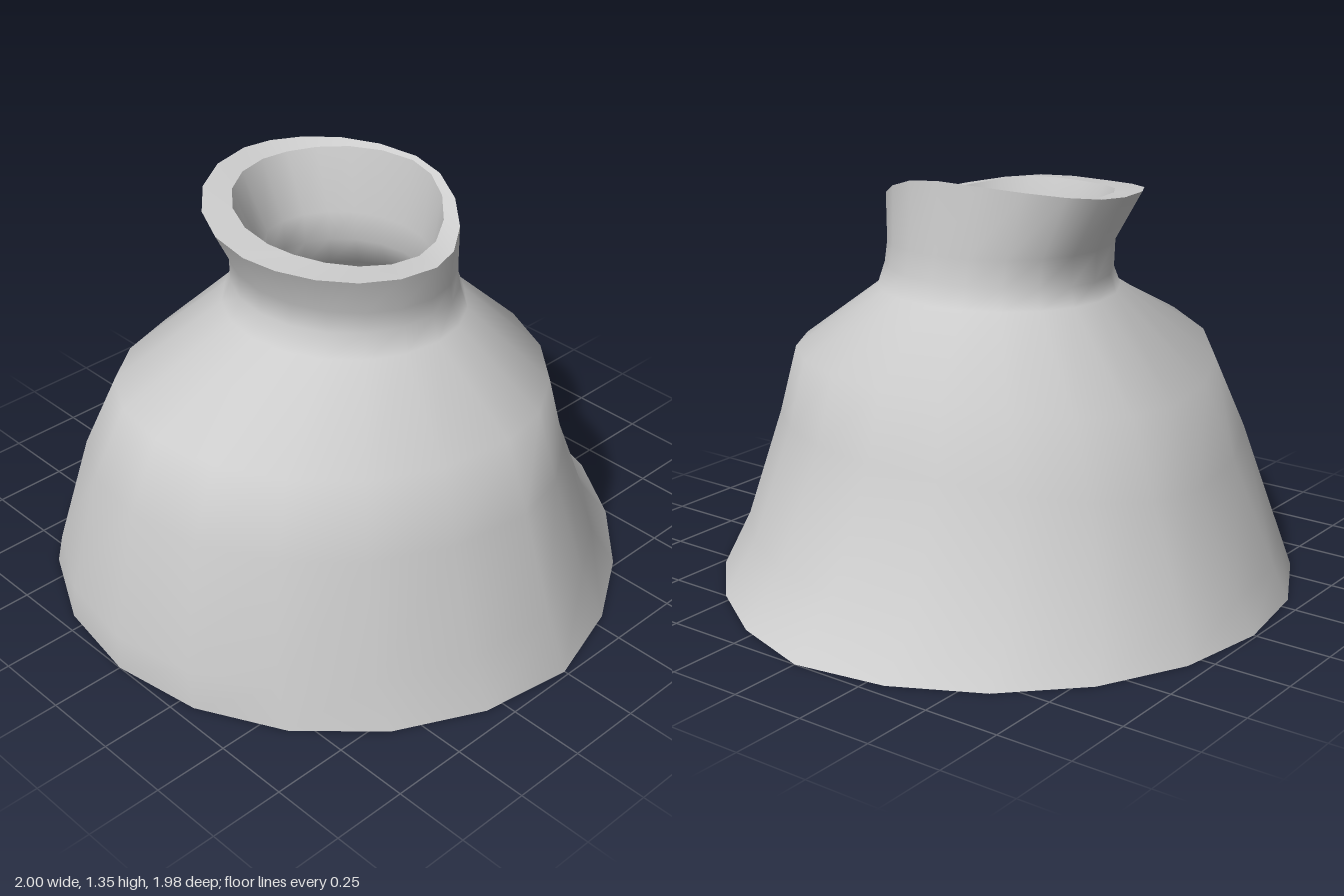
import * as THREE from 'three';

const SIDES = 20;

// Each ring: [x, y] at left and right, [z, y] at front and back, then a squeeze
// that flattens the front corner on the +x side.
const outer = [
  [1.0, 0, -1.0, 0, 0.985, 0, -0.99, 0, 0.08],
  [0.83, 0.16, -1.0, 0.13, 0.91, 0.17, -0.93, 0.10, 0.06],
  [0.65, 0.53, -0.91, 0.56, 0.79, 0.51, -0.78, 0.43, 0.03],
  [0.59, 0.755, -0.80, 0.78, 0.70, 0.74, -0.68, 0.68, 0],
  [0.36, 0.97, -0.41, 0.97, 0.40, 0.96, -0.40, 0.97, 0],
  [0.335, 1.04, -0.37, 1.04, 0.375, 1.04, -0.385, 1.03, 0],
  [0.32, 1.12, -0.37, 1.12, 0.37, 1.10, -0.39, 1.13, 0],
  [0.30, 1.35, -0.435, 1.26, 0.385, 1.215, -0.49, 1.31, 0],
];
const inner = [
  [0.285, 1.34, -0.335, 1.27, 0.31, 1.225, -0.40, 1.30, 0],
  [0.25, 1.12, -0.27, 1.11, 0.29, 1.10, -0.305, 1.11, 0],
  [0.25, 1.02, -0.28, 1.02, 0.29, 1.01, -0.30, 1.01, 0],
  [0.29, 0.92, -0.34, 0.91, 0.33, 0.90, -0.33, 0.90, 0],
  [0.52, 0.70, -0.72, 0.72, 0.62, 0.67, -0.60, 0.62, 0],
  [0.56, 0.50, -0.82, 0.53, 0.70, 0.48, -0.69, 0.41, 0.03],
  [0.76, 0.08, -0.91, 0.08, 0.84, 0.08, -0.85, 0.08, 0.06],
];
const pointRing = (y) => [0, y, 0, y, 0, y, 0, y, 0];

// Lopsided oval: each quarter blends between its two neighbouring side points
function ringPoint([rx, ry, lx, ly, fz, fy, bz, by, squeeze], angle) {
  const c = Math.cos(angle), s = Math.sin(angle);
  const corner = c > 0 && s > 0 ? 1 - squeeze * Math.sin(2 * angle) : 1;
  const x = (c > 0 ? rx : -lx) * c * corner;
  const z = (s > 0 ? fz : -bz) * s * corner;
  const y = (c > 0 ? ry : ly) * c * c + (s > 0 ? fy : by) * s * s;
  return [x, y, z];
}

// Smooth skin over a list of rings
function loft(name, rings, material) {
  const positions = [], index = [];
  rings.forEach((ring, i) => {
    for (let j = 0; j < SIDES; j++) {
      positions.push(...ringPoint(ring, (j / SIDES) * Math.PI * 2));
      if (i === rings.length - 1) continue;
      const a = i * SIDES + j, b = i * SIDES + (j + 1) % SIDES;
      const c = a + SIDES, d = b + SIDES;
      index.push(a, c, b, b, c, d);
    }
  });
  const geometry = new THREE.BufferGeometry();
  geometry.setAttribute('position', new THREE.Float32BufferAttribute(positions, 3));
  geometry.setIndex(index);
  geometry.computeVertexNormals();
  const mesh = new THREE.Mesh(geometry, material);
  mesh.name = name;
  return mesh;
}

export function createModel() {
  const group = new THREE.Group();
  group.name = 'pot';
  const material = new THREE.MeshStandardMaterial({ color: 0xcccccc });
  group.add(
    loft('outerWall', outer, material),
    loft('rim', [outer[outer.length - 1], inner[0]], material),
    loft('innerWall', inner, material),
    loft('innerFloor', [inner[inner.length - 1], pointRing(0.08)], material),
    loft('base', [pointRing(0), outer[0]], material),
  );
  return group;
}
